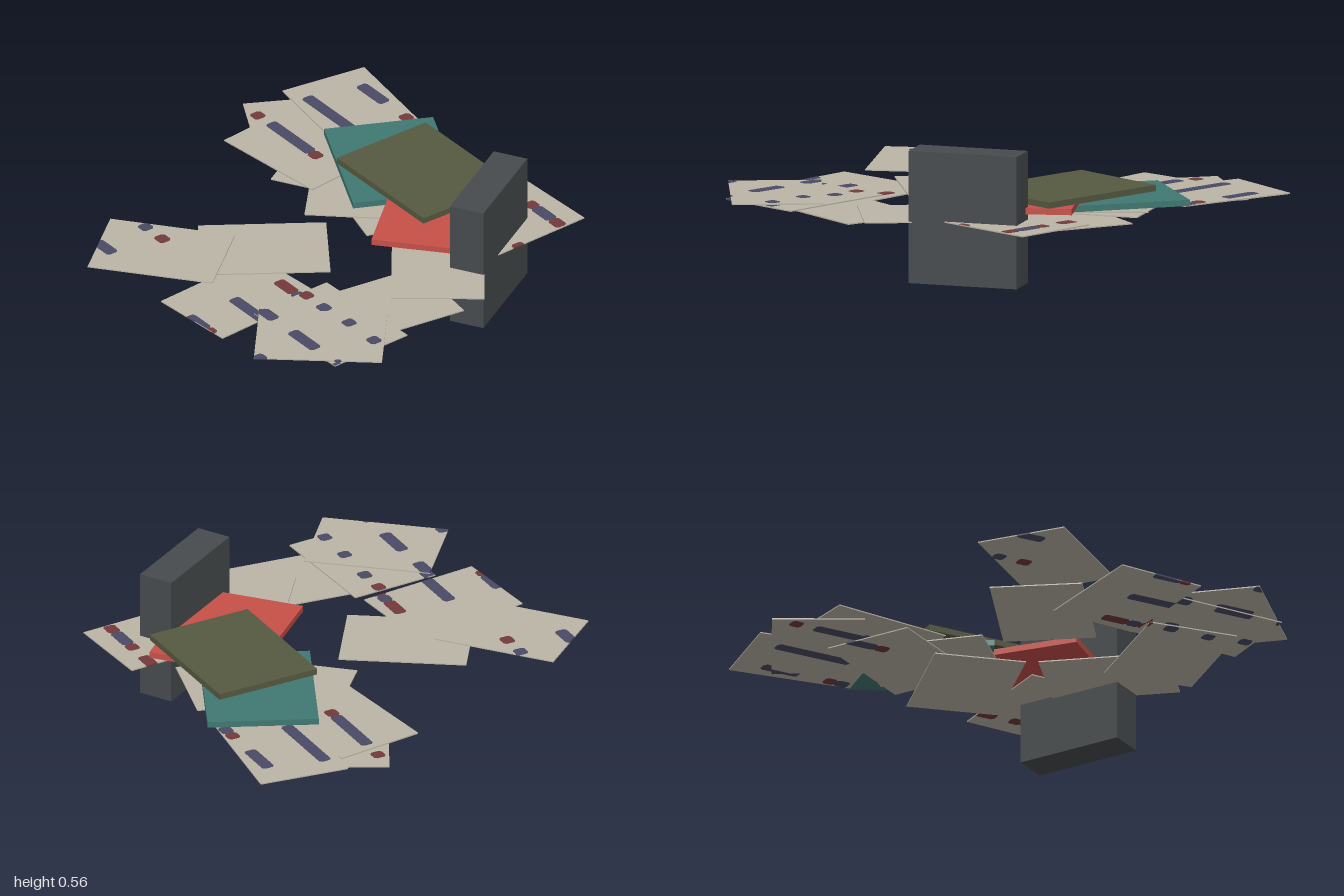
import * as THREE from 'three';

const mat = (name, color) => {
  const m = new THREE.MeshStandardMaterial({ color });
  m.name = name;
  return m;
};

export function createModel() {
  const root = new THREE.Group();
  root.name = 'scatteredPapers';
  const paper = mat('paper', 0xbbb5a7);
  const blue = mat('blueInk', 0x4a4a66);
  const red = mat('redInk', 0x743a3c);

  // Flat block turned about the vertical axis; y is its lower face
  function slab(name, material, [w, h, d], x, y, z, degrees) {
    const mesh = new THREE.Mesh(new THREE.BoxGeometry(w, h, d), material);
    mesh.name = name;
    mesh.position.set(x, y + h / 2, z);
    mesh.rotation.y = THREE.MathUtils.degToRad(degrees);
    root.add(mesh);
  }

  // Keep the part of a convex polygon that lies inside a counter-clockwise one
  function clip(poly, frame) {
    frame.forEach((a, i) => {
      const b = frame[(i + 1) % frame.length], out = [];
      const side = (p) => (b.x - a.x) * (p.y - a.y) - (b.y - a.y) * (p.x - a.x);
      poly.forEach((p, j) => {
        const q = poly[(j + 1) % poly.length], sp = side(p), sq = side(q);
        if (sp >= 0) out.push(p);
        if (sp * sq < 0) out.push(p.clone().lerp(q, sp / (sp - sq)));
      });
      poly = out;
    });
    return poly;
  }

  // Ink marks: material, row z, start x, end x
  const marks = [
    [blue, -0.829, -0.805, -0.634], [red, -0.829, -0.516, -0.463], [blue, -0.829, -0.463, -0.405],
    [red, -0.829, 0.17, 0.286], [red, -0.829, 0.35, 0.404], [blue, -0.829, 0.404, 0.52],
    [red, -0.829, 0.52, 0.586],
    [blue, -0.594, -0.864, -0.518], [red, -0.594, 0.58, 0.64],
    [red, -0.364, -0.917, -0.864], [blue, -0.364, -0.805, -0.52], [red, -0.364, -0.52, -0.463],
    [red, 0.326, 0.174, 0.29], [blue, 0.326, 0.29, 0.346], [red, 0.326, 0.346, 0.4],
    [blue, 0.326, 0.463, 0.521], [blue, 0.326, 0.64, 0.692], [blue, 0.326, 0.81, 0.864],
    [blue, 0.556, -0.457, -0.404], [red, 0.556, -0.345, -0.286], [blue, 0.556, 0.174, 0.463],
    [blue, 0.556, 0.58, 0.75], [blue, 0.556, 0.867, 0.92],
    [blue, 0.786, -0.46, -0.345], [blue, 0.786, 0.174, 0.299], [red, 0.786, 0.299, 0.345],
    [blue, 0.786, 0.64, 0.692],
  ];
  const outline = ([, z, x0, x1]) => {
    const h = 0.027, c = 0.01, y = -z;
    return [
      [x0 + c, y - h], [x1 - c, y - h], [x1, y - h + c], [x1, y + h - c],
      [x1 - c, y + h], [x0 + c, y + h], [x0, y + h - c], [x0, y - h + c],
    ].map((p) => new THREE.Vector2(...p));
  };

  // Loose sheets: x, lower face y, z, turn of the long side
  const W = 0.53, D = 0.385, T = 0.005;
  const sheets = [
    [-0.027, 0.207, -0.5, 74.9], [-0.364, 0.212, -0.436, 30.5], [-0.246, 0.221, -0.393, -42],
    [0.182, 0.219, 0.527, -85.4], [-0.053, 0.228, 0.227, 56], [0.61, 0.233, 0.1, 83],
    [-0.709, 0.238, -0.516, 62.4], [-0.57, 0.244, -0.353, 6.4], [0.612, 0.248, 0.38, 2.3],
    [0.508, 0.253, -0.25, -37.2], [-0.674, 0.256, -0.698, -8], [0.676, 0.261, 0.48, 49.9],
    [0.406, 0.262, -0.67, -87.4], [-0.243, 0.266, 0.615, 39.3],
  ];
  for (const [x, y, z, deg] of sheets) {
    slab('paperSheet', paper, [W, T, D], x, y, z, deg);
    const centre = new THREE.Vector2(x, -z);
    const corners = [[-1, -1], [1, -1], [1, 1], [-1, 1]].map(([i, j]) =>
      new THREE.Vector2(i * W / 2, j * D / 2)
        .rotateAround(new THREE.Vector2(), THREE.MathUtils.degToRad(deg)).add(centre));
    for (const mark of marks) {
      const poly = clip(outline(mark), corners);
      if (poly.length < 3) continue;
      // The ink shows on both faces of the sheet
      const geo = new THREE.ExtrudeGeometry(new THREE.Shape(poly), { depth: T + 0.002, bevelEnabled: false });
      geo.rotateX(-Math.PI / 2);
      const mesh = new THREE.Mesh(geo, mark[0]);
      mesh.name = 'inkMark';
      mesh.position.y = y - 0.001;
      root.add(mesh);
    }
  }

  // Stacked folders
  const folder = [0.594, 0.026, 0.46];
  slab('tealFolder', mat('teal', 0x407872), folder, -0.214, 0.266, -0.556, -25);
  slab('redFolder', mat('red', 0xc65048), folder, 0.243, 0.294, -0.46, -48.4);
  slab('greenFolder', mat('olive', 0x565a40), folder, 0.005, 0.325, -0.555, 0.3);

  // Upright file box
  slab('fileBox', mat('charcoal', 0x474b4d), [0.468, 0.555, 0.15], 0.503, 0, -0.513, -59.5);
  return root;
}
